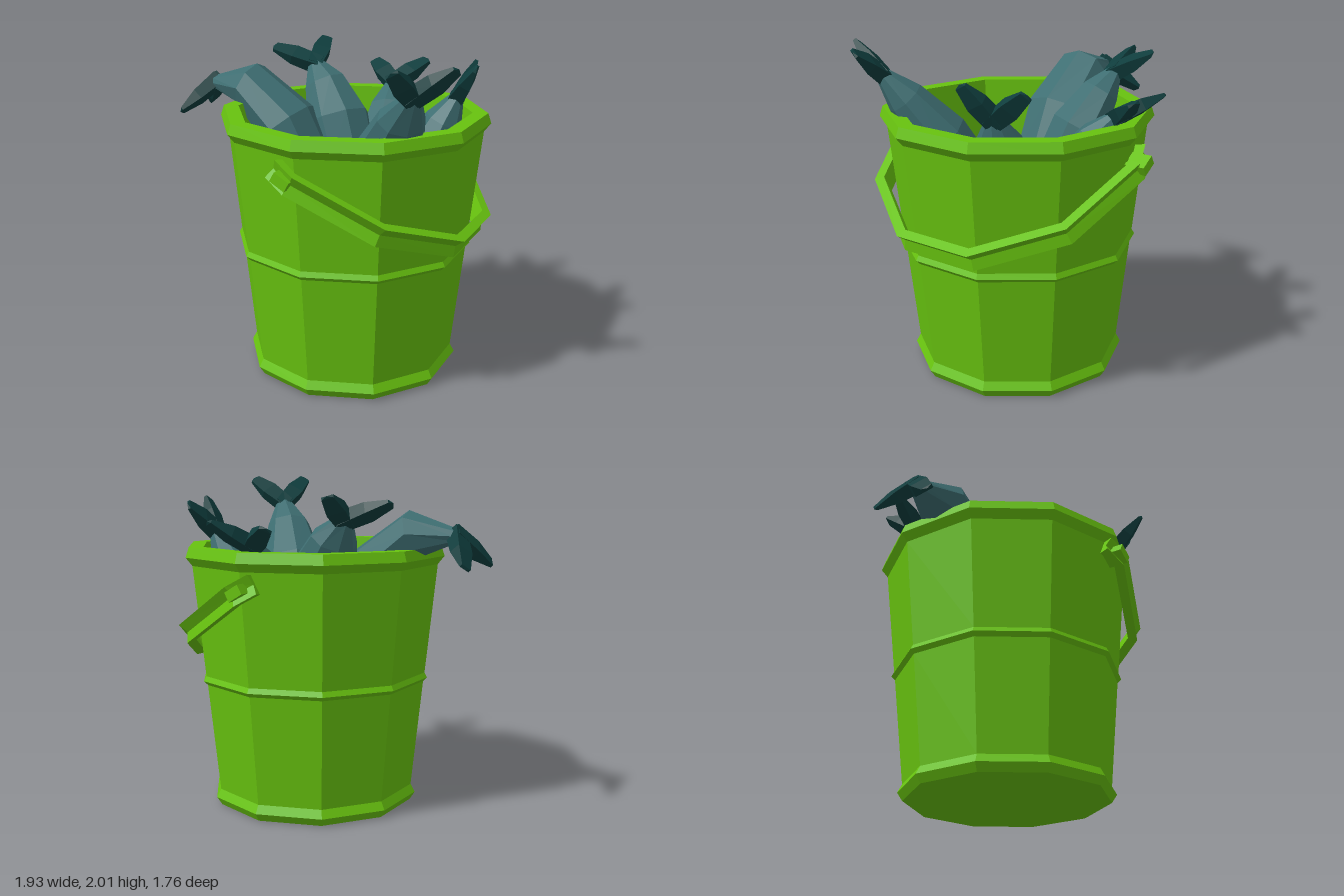
import * as THREE from 'three';
import { ConvexGeometry } from 'three/addons/geometries/ConvexGeometry.js';

const V = (x, y, z) => new THREE.Vector3(x, y, z);

function material(name, color) {
  const m = new THREE.MeshStandardMaterial({ color });
  m.name = name;
  return m;
}

function part(name, geometry, mat) {
  const mesh = new THREE.Mesh(geometry, mat);
  mesh.name = name;
  return mesh;
}

function faceted(geometry) {
  const g = geometry.index ? geometry.toNonIndexed() : geometry;
  g.computeVertexNormals();
  return g;
}

// Skin between rings of points, with flat caps at either end
function loft(rings, capStart = true, capEnd = true) {
  const pos = [];
  const tri = (...pts) => pts.forEach((p) => pos.push(p.x, p.y, p.z));
  const n = rings[0].length;
  for (let i = 0; i < rings.length - 1; i++) {
    for (let j = 0; j < n; j++) {
      const k = (j + 1) % n;
      const a = rings[i][j], b = rings[i][k], c = rings[i + 1][k], d = rings[i + 1][j];
      tri(a, b, c);
      tri(a, c, d);
    }
  }
  const last = rings[rings.length - 1];
  for (let j = 1; j < n - 1; j++) {
    if (capStart) tri(rings[0][0], rings[0][j + 1], rings[0][j]);
    if (capEnd) tri(last[0], last[j], last[j + 1]);
  }
  const g = new THREE.BufferGeometry();
  g.setAttribute('position', new THREE.Float32BufferAttribute(pos, 3));
  return faceted(g);
}

// Direction of a path at point i
function tangent(path, i) {
  const a = path[Math.max(i - 1, 0)], b = path[Math.min(i + 1, path.length - 1)];
  return b.clone().sub(a).normalize();
}

// Ten-sided pail: foot, middle hoop, rim, inner wall and floor in one profile
function makeBucket(mat) {
  const profile = [
    [0, 0], [0.618, 0], [0.65, 0.05], [0.623, 0.1],
    [0.692, 0.765], [0.716, 0.79], [0.7, 0.82],
    [0.77, 1.49], [0.81, 1.54], [0.79, 1.6],
    [0.7, 1.6], [0.56, 0.12], [0, 0.12],
  ].map(([r, y]) => new THREE.Vector2(r, y));
  const bucket = part('bucket', faceted(new THREE.LatheGeometry(profile, 10)), mat);
  bucket.position.x = 0.14;
  return bucket;
}

// Bail hanging forward and down, with an outward channel along it
function makeHandle(mat) {
  const group = new THREE.Group();
  group.name = 'handle';
  const half = [[-0.08, 0.79], [0.05, 0.83], [0.58, 0.67], [0.905, 0.24]];
  const path = [
    ...half.map(([s, z]) => V(s, 0, -z)),
    ...half.slice().reverse().map(([s, z]) => V(s, 0, z)),
  ];
  const section = [[0, 0], [0.03, 0.06], [-0.03, 0.06], [-0.03, -0.06], [0.03, -0.06]];
  const up = V(0, 1, 0);
  const rings = path.map((p, i) => {
    const out = up.clone().cross(tangent(path, i));
    return section.map(([u, v]) => p.clone().addScaledVector(out, u).addScaledVector(up, v));
  });
  group.add(part('handleBand', loft(rings), mat));
  for (const side of [-1, 1]) {
    const pin = part('handlePin', new THREE.BoxGeometry(0.1, 0.06, 0.12), mat);
    pin.position.set(0.01, 0, side * 0.815);
    group.add(pin);
  }
  group.position.set(0.1, 1.39, 0);
  group.rotation.z = -Math.PI / 6;
  return group;
}

// Fish hanging nose-down: spine runs from tail root to nose
function makeFish(spine, tips, widths, mats) {
  const group = new THREE.Group();
  group.name = 'fish';
  const path = spine.map((p) => V(...p));
  const ends = tips.map((p) => V(...p));
  const across = ends[1].clone().sub(ends[0]).normalize();

  const rings = path.map((p, i) => {
    const t = tangent(path, i);
    const u = across.clone().addScaledVector(t, -across.dot(t)).normalize();
    const v = t.clone().cross(u);
    return Array.from({ length: 8 }, (_, j) => {
      const a = (j / 8) * Math.PI * 2;
      return p.clone()
        .addScaledVector(u, Math.cos(a) * widths[i])
        .addScaledVector(v, Math.sin(a) * widths[i] * 0.82);
    });
  });
  group.add(part('fishBody', loft(rings.slice(0, 4), true, false), mats.skin));
  group.add(part('fishHead', loft(rings.slice(3), false, true), mats.head));

  // Forked tail: two thick, tapering lobes
  const root = path[0];
  const middle = ends[0].clone().add(ends[1]).multiplyScalar(0.5);
  const back = middle.clone().sub(root).normalize();
  const normal = across.clone().cross(back).normalize();
  ends.forEach((tip) => {
    const dir = tip.clone().sub(root).normalize();
    const edge = normal.clone().cross(dir);
    const pts = [];
    // Distance along the lobe, half breadth, half thickness
    for (const [f, b, h] of [[-0.1, 0.045, 0.045], [0.5, 0.055, 0.035], [0.95, 0.035, 0.01]]) {
      const c = root.clone().lerp(tip, f);
      for (const sb of [-1, 1]) for (const sh of [-1, 1]) {
        pts.push(c.clone().addScaledVector(edge, sb * b).addScaledVector(normal, sh * h));
      }
    }
    pts.push(tip);
    group.add(part('tailLobe', new ConvexGeometry(pts), mats.tail));
  });
  return group;
}

export function createModel() {
  const green = material('bucket green', 0x67c20f);
  const mats = {
    skin: material('fish teal', 0x3e6e72),
    head: material('head grey', 0x73898d),
    tail: material('tail dark teal', 0x0f3d3d),
  };
  const model = new THREE.Group();
  model.name = 'bucketOfFish';
  model.add(makeBucket(green), makeHandle(green));

  const widths = [0.055, 0.14, 0.21, 0.2, 0.11];
  const fish = [
    { // draped over the right edge
      spine: [[-0.82, 1.68, 0], [-0.57, 1.69, 0], [-0.31, 1.47, 0], [-0.17, 1.2, 0], [-0.08, 1.02, 0]],
      tips: [[-0.96, 1.51, 0.2], [-0.96, 1.51, -0.19]],
      widths: [0.05, 0.17, 0.22, 0.21, 0.11],
    },
    { // back right
      spine: [[-0.31, 1.77, -0.39], [-0.22, 1.66, -0.35], [-0.1, 1.46, -0.28], [0, 1.22, -0.21], [0.06, 1.03, -0.16]],
      tips: [[-0.59, 1.87, -0.34], [-0.34, 1.91, -0.63]],
    },
    { // back
      spine: [[0.12, 1.63, -0.67], [0.14, 1.5, -0.57], [0.18, 1.28, -0.42], [0.21, 1.05, -0.33], [0.23, 0.87, -0.27]],
      tips: [[-0.1, 1.74, -0.85], [0.28, 1.77, -0.87]],
    },
    { // back left
      spine: [[0.69, 1.67, -0.26], [0.62, 1.53, -0.24], [0.53, 1.3, -0.2], [0.44, 1.06, -0.16], [0.37, 0.88, -0.13]],
      tips: [[0.84, 1.88, -0.15], [0.72, 1.85, -0.5]],
    },
    { // front left, standing tallest
      spine: [[0.71, 1.82, 0.52], [0.62, 1.68, 0.44], [0.49, 1.44, 0.3], [0.38, 1.2, 0.18], [0.31, 1.03, 0.11]],
      tips: [[0.95, 1.99, 0.5], [0.68, 1.99, 0.75]],
    },
  ];
  fish.forEach((f) => model.add(makeFish(f.spine, f.tips, f.widths || widths, mats)));
  return model;
}
